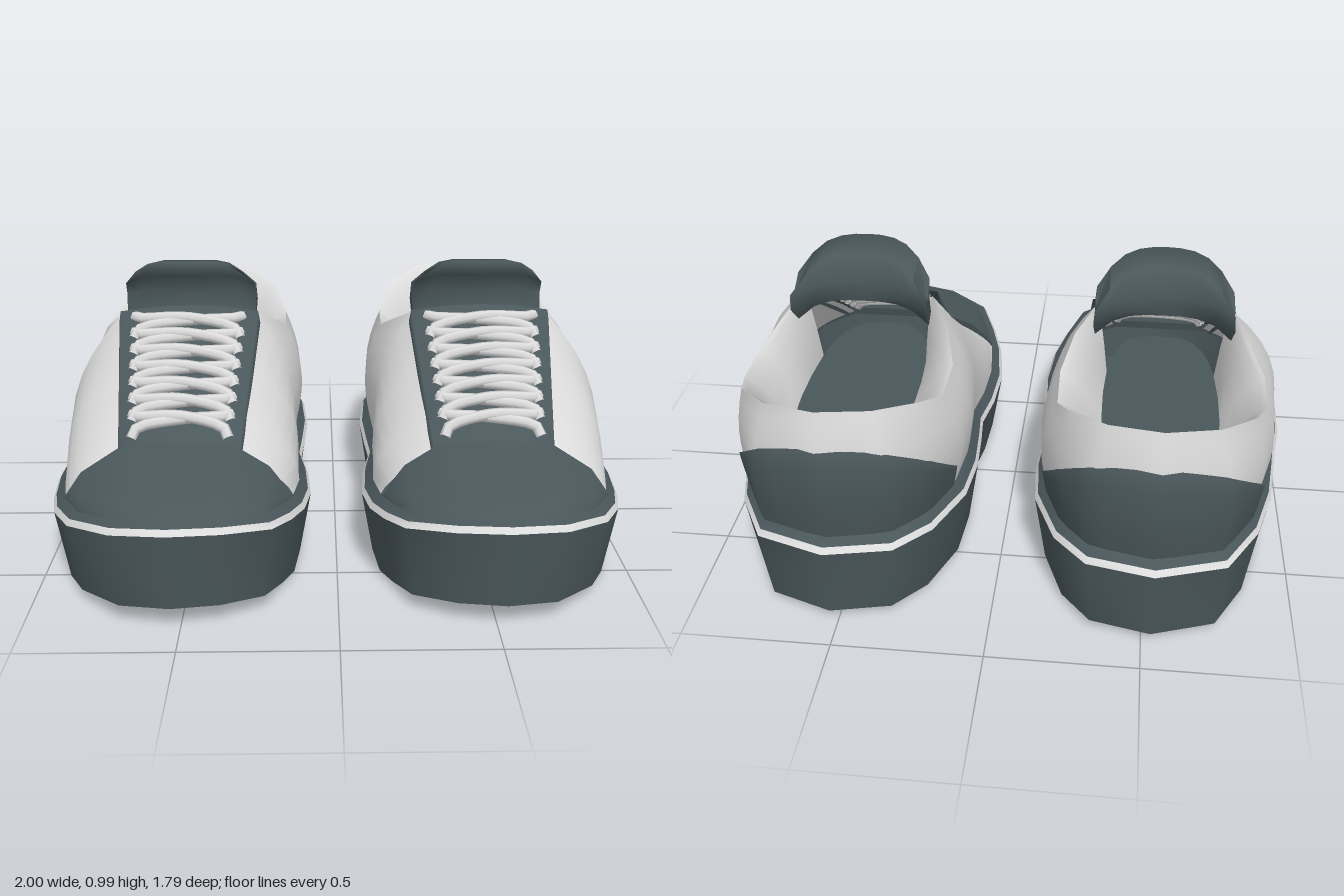
import * as THREE from 'three';

const CX = 0.535; // centre line of one shoe
const LACE_X = 0.528; // centre line of the tongue and lacing

const dark = new THREE.MeshStandardMaterial({ color: 0x4a575b, side: THREE.DoubleSide });
dark.name = 'slate';
const light = new THREE.MeshStandardMaterial({ color: 0xdddcdc, side: THREE.DoubleSide });
light.name = 'pale grey';

// Sole outline [x, z] from the toe tip, along the inner side, round the heel and back
const outline = [
  [.53, .895], [.36, .86], [.21, .77], [.15, .63],
  [.11, .5], [.09, .33], [.10, .15], [.125, 0], [.115, -.12], [.105, -.3], [.12, -.5],
  [.2, -.72], [.31, -.85], [.53, -.9], [.76, -.82], [.87, -.62], [.93, -.4], [.955, -.22],
  [.97, -.1], [.995, .06], [1, .2], [.98, .38], [.945, .53],
  [.87, .69], [.71, .855],
];
const FIRST = 4, LAST = 22; // outline span carrying the open upper

// Top edge of the upper [x, y, z] for that span: eyestay, collar, eyestay
const topEdge = [
  [.35, .44, .44], [.335, .53, .33], [.315, .65, .15], [.295, .785, -.04], [.225, .725, -.15],
  [.185, .66, -.3], [.19, .66, -.5], [.24, .735, -.66], [.36, .78, -.79], [.53, .79, -.83],
  [.70, .78, -.78], [.82, .73, -.63], [.87, .665, -.46], [.875, .66, -.27], [.82, .725, -.15],
  [.765, .785, -.04], [.745, .645, .16], [.725, .535, .32], [.71, .44, .44],
];

const lerp = THREE.MathUtils.lerp;
const clamp01 = (v) => THREE.MathUtils.clamp(v, 0, 1);

// Piecewise linear height along z
function heightAt(table, z) {
  for (let i = 1; i < table.length; i++) {
    const [z0, y0] = table[i - 1], [z1, y1] = table[i];
    if (z <= z1) return lerp(y0, y1, clamp01((z - z0) / (z1 - z0)));
  }
  return table[table.length - 1][1];
}
const stripeY = (z) => heightAt([[-.9, .29], [-.6, .267], [-.3, .243], [0, .226], [.3, .218], [.5, .243], [.7, .278], [.9, .335]], z);
const groundY = (z) => heightAt([[-.9, .03], [-.5, 0], [.5, 0], [.9, .075]], z);

// Ring of sole points, shrunk by an inset, at a height rule
const soleRing = (dx, dz, height) => outline.map(([x, z]) =>
  [CX + (x - CX) * (1 - dx / .45), height(z), z * (1 - dz / .9)]);
const rim = soleRing(.04, .045, (z) => stripeY(z) + lerp(.046, .028, clamp01((z - .4) / .4)));

// Point on the upper: column c (may be fractional), t from rim to top edge
function upperPoint(c, t, offset = 0) {
  const i = Math.min(Math.floor(c), topEdge.length - 2), f = c - i;
  const mix = (a, b) => a.map((v, k) => lerp(v, b[k], f));
  const lo = mix(rim[FIRST + i], rim[FIRST + i + 1]);
  const hi = mix(topEdge[i], topEdge[i + 1]);
  const k = clamp01((.5 - lo[2]) / .5);
  const h = Math.pow(t, 1.3 + 1.2 * k);
  const out = new THREE.Vector2(lo[0] - CX, Math.min(0, lo[2] + .5)).normalize();
  const push = .024 * k * Math.sin(Math.PI * t) + offset;
  return [lerp(lo[0], hi[0], h) + out.x * push, lerp(lo[1], hi[1], t), lerp(lo[2], hi[2], h) + out.y * push];
}

// Smooth surface through rows of points; side -1 mirrors it
function loft(rows, side, closed = false) {
  const n = rows[0].length, pos = [], index = [];
  rows.forEach((row) => row.forEach(([x, y, z]) => pos.push(x * side, y, z)));
  for (let r = 0; r < rows.length - 1; r++) {
    for (let c = 0; c < (closed ? n : n - 1); c++) {
      const a = r * n + c, b = r * n + (c + 1) % n, d = a + n, e = b + n;
      if (side > 0) index.push(a, d, b, b, d, e);
      else index.push(a, b, d, b, e, d);
    }
  }
  const g = new THREE.BufferGeometry();
  g.setAttribute('position', new THREE.Float32BufferAttribute(pos, 3));
  g.setIndex(index);
  g.computeVertexNormals();
  return g;
}

const range = (n, fn) => Array.from({ length: n }, (_, i) => fn(i));

// Rounded footbed outline
const INSOLE_Y = .48;
const soften = (v, p) => Math.sign(v) * Math.abs(v) ** p;
const insolePoint = (a) => [CX + .205 * soften(Math.cos(a), .6), INSOLE_Y, -.2 + .49 * soften(Math.sin(a), .85)];

function createShoe(side) {
  const shoe = new THREE.Group();
  shoe.name = side > 0 ? 'leftShoe' : 'rightShoe';
  const add = (name, geometry, material) => {
    const mesh = new THREE.Mesh(geometry, material);
    mesh.name = name;
    shoe.add(mesh);
  };

  // Platform sole with pale stripe and sloping rim
  const bottom = soleRing(.04, .025, groundY);
  const wallTop = soleRing(0, 0, stripeY);
  const stripeTop = soleRing(.01, .016, (z) => stripeY(z) + .018);
  add('outsole', loft([bottom.map(() => [CX, 0, 0]), bottom], side, true), dark);
  add('soleWall', loft([bottom, wallTop], side, true), dark);
  add('soleStripe', loft([wallTop, stripeTop], side, true), light);
  add('soleRim', loft([stripeTop, rim], side, true), dark);

  // Upper: sides and heel in one open U
  const cols = topEdge.length;
  add('upper', loft(range(8, (r) => range(cols, (c) => upperPoint(c, r / 7))), side), light);

  // Heel counter laid over the back of the upper
  const heelCols = range(16, (i) => lerp(6.2, 11.35, i / 15));
  const heelTop = (c) => {
    const lo = upperPoint(c, 0), hi = upperPoint(c, 1);
    const y = .38 + .28 * clamp01((-lo[2] - .5) / .33);
    return (y - lo[1]) / (hi[1] - lo[1]);
  };
  const heelRows = range(6, (r) => heelCols.map((c) => upperPoint(c, heelTop(c) * r / 5, .012)));
  heelRows.push(heelCols.map((c) => upperPoint(c, heelTop(c), -.005)));
  add('heelCounter', loft(heelRows, side), dark);

  // Padded lining from the collar edge down to the insole
  const collar = topEdge.slice(3, 16);
  const lining = [[0, 0], [.15, .06], [.4, .27], [.7, .6], [1, 1]].map(([h, drop]) =>
    collar.map(([x, y, z]) => {
      const [ix, iy, iz] = insolePoint(Math.atan2((z + .2) / .6, (x - CX) / .35));
      return [lerp(x, ix, h), lerp(y, iy, drop), lerp(z, iz, h)];
    }));
  add('lining', loft(lining, side), light);
  // Footbed, dipping below the lacing at its front end
  const footbed = range(28, (i) => insolePoint(-i / 28 * Math.PI * 2));
  add('insole', loft([footbed, footbed.map(() => [CX, INSOLE_Y, -.2])], side, true), dark);

  // Toe cap: from the front rim up to an arched back edge, steeper at the rim and sides
  const front = [...rim.slice(LAST), ...rim.slice(0, FIRST + 1)];
  const archU = [1, .84, .45, 0, -.45, -.8, -.94, -1];
  const back = archU.map((u) =>
    [CX + .385 * u, .285 + .185 * (1 - Math.abs(u) ** 3.6), .42 + .08 * u * u]);
  const capRows = range(9, (r) => front.map(([x, y, z], i) => {
    const t = r / 8, [bx, by, bz] = back[i];
    const rise = lerp(.12 * Math.min(1, r), 1, t ** (1.1 - .5 * Math.abs(archU[i])));
    return [lerp(x, bx, t), lerp(y, by, rise), lerp(z, bz, t)];
  }));
  add('toeCap', loft(capRows, side), dark);
  add('toeCapEdge', loft([back, back.map(([x, y, z]) => [x, y - .035, z + .01])], side), dark);

  // Lace panel with a small folded edge
  const panelPoint = (s, u, lift) => [
    LACE_X + (.195 + .045 * s) * u, .435 + .345 * s + .02 * (1 - u * u) + lift, .46 - .48 * s];
  add('lacePanel', loft(range(7, (r) => [1.07, 1.04, .5, 0, -.5, -1.04, -1.07].map((u) =>
    panelPoint(r / 6, u, Math.abs(u) > 1.05 ? -.03 : .014))), side), dark);

  // Criss-cross laces
  for (let i = 0; i < 7; i++) {
    for (const dir of [1, -1]) {
      const s0 = .06 + i * .12, s1 = s0 + .17;
      const curve = new THREE.CatmullRomCurve3([-.82, -.74, 0, .74, .82].map((u, k) => {
        const [x, y, z] = panelPoint(lerp(s0, s1, k / 4), u * dir, [.01, .022, dir > 0 ? .034 : .022, .022, .01][k]);
        return new THREE.Vector3(x * side, y, z);
      }));
      add('lace', new THREE.TubeGeometry(curve, 10, .02, 6), light);
    }
  }

  // Tongue: [centre y, centre z, half width, sweep back at sides, drop at sides]
  const tongue = [
    [.78, .0, .235, .09, .03], [.86, -.045, .24, .09, .03], [.93, .012, .235, .10, .05],
    [.985, .03, .19, .07, .05], [.965, -.09, .19, .07, .06], [.87, -.12, .235, .09, .02],
    [.82, -.115, .24, .09, .03], [.79, -.11, .235, .03, .07],
  ];
  add('tongue', loft(tongue.map(([y, z, w, sweep, drop]) => range(9, (i) => {
    const u = 1 - i / 4;
    return [LACE_X + w * u, y - drop * u ** 4, z - sweep * u * u];
  })), side), dark);
  for (const end of [1, -1]) {
    const edge = tongue.map(([y, z, w, sweep, drop]) => [LACE_X + w * end, y - drop, z - sweep]);
    const inner = edge.map(() => [LACE_X + .237 * end, .83, -.16]);
    add('tongueSide', loft(end > 0 ? [edge, inner] : [inner, edge], side, true), dark);
  }
  return shoe;
}

export function createModel() {
  const model = new THREE.Group();
  model.name = 'platformSneakers';
  model.add(createShoe(1), createShoe(-1));
  return model;
}
